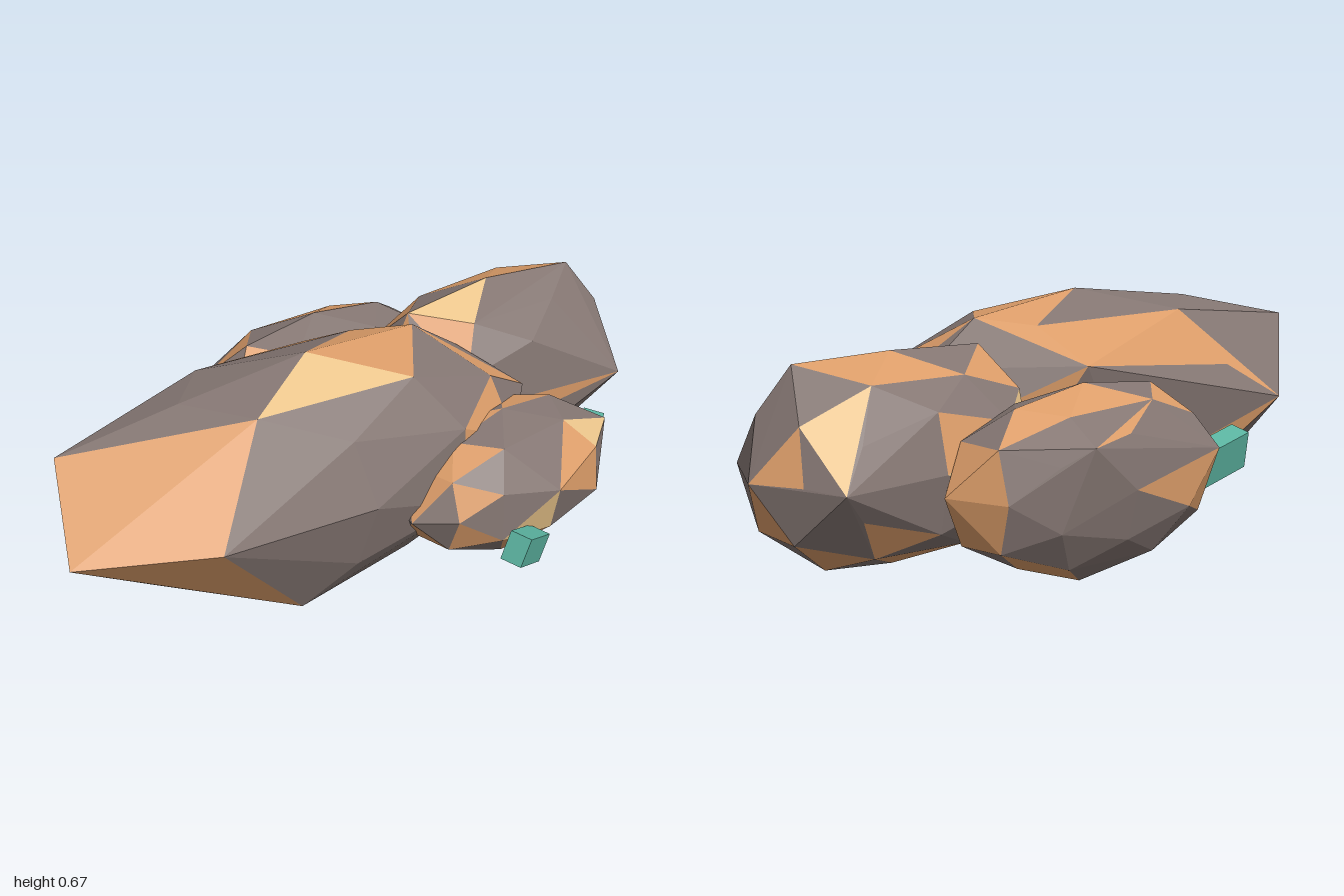
import * as THREE from 'three';
import { ConvexGeometry } from 'three/addons/geometries/ConvexGeometry.js';

// Small seeded generator
function seeded(seed) {
  let s = seed;
  return () => (s = (s * 16807) % 2147483647) / 2147483647;
}

const UP = new THREE.Vector3(0, 1, 0);
const material = (color) => new THREE.MeshStandardMaterial({ color, flatShading: true });
const tones = [
  { name: 'stone', material: material(0x847672) },
  { name: 'ore', material: material(0xdc9d69) },
  { name: 'paleOre', material: material(0xecc68c) },
];

// Squares an ellipsoid off a little, so the rock has blunt shoulders
const blunt = (v) => Math.sign(v) * Math.abs(v) ** 0.88;

// Faceted rock: a stretched, roughened icosphere with a few jutting corners,
// its facets shared out between stone and ore
function rock({ name, seed, center, radii, yaw, corners }) {
  const random = seeded(seed);
  const points = corners.map((c) => new THREE.Vector3(...c));
  const ico = new THREE.IcosahedronGeometry(1, 1).attributes.position;
  const seen = new Set();
  for (let i = 0; i < ico.count; i++) {
    const p = new THREE.Vector3().fromBufferAttribute(ico, i);
    const key = p.toArray().map((v) => Math.round(v * 100)).join();
    if (seen.has(key)) continue;
    seen.add(key);
    p.set(blunt(p.x), blunt(p.y), blunt(p.z))
      .multiplyScalar(0.92 + 0.08 * random())
      .multiply(new THREE.Vector3(...radii))
      .applyAxisAngle(UP, yaw)
      .add(new THREE.Vector3(...center));
    // leave out points crowding a corner, so facets stay large
    if (points.every((q) => q.distanceTo(p) > 0.09)) points.push(p);
  }

  const hull = new ConvexGeometry(points).attributes.position.array;
  const facets = [[], [], []];
  for (let i = 0; i < hull.length; i += 9) {
    const r = random();
    facets[r < 0.64 ? 0 : r < 0.94 ? 1 : 2].push(...hull.slice(i, i + 9));
  }

  const group = new THREE.Group();
  group.name = name;
  facets.forEach((list, i) => {
    const geometry = new THREE.BufferGeometry();
    geometry.setAttribute('position', new THREE.Float32BufferAttribute(list, 3));
    geometry.computeVertexNormals();
    const mesh = new THREE.Mesh(geometry, tones[i].material);
    mesh.name = name + '_' + tones[i].name;
    group.add(mesh);
  });
  return group;
}

const rocks = [
  {
    // long rock: pointed end, girdle, crown, blunt end, keel
    name: 'mainRock', seed: 4211, center: [-0.2, 0.345, 0.06], radii: [0.67, 0.32, 0.3], yaw: -0.1,
    corners: [
      [-1, 0.35, 0.17], [-0.9, 0.54, -0.05], [-0.69, 0.35, -0.26], [0.02, 0.52, -0.25],
      [-0.66, 0.35, 0.34], [-0.2, 0.34, 0.37], [-0.2, 0.67, 0.06], [0.18, 0.63, 0.03],
      [0.49, 0.4, 0.14], [-0.35, 0.04, 0.24], [-0.2, 0.025, 0.06],
    ],
  },
  {
    name: 'sideRock', seed: 977, center: [0.57, 0.33, -0.12], radii: [0.43, 0.28, 0.24], yaw: 0,
    corners: [
      [0.87, 0.32, -0.35], [0.87, 0.32, 0.13], [0.84, 0.6, -0.08],
      [0.27, 0.59, -0.1], [0.75, 0.06, -0.08],
    ],
  },
  {
    name: 'backRock', seed: 3163, center: [0.16, 0.27, -0.39], radii: [0.43, 0.25, 0.2], yaw: 0.05,
    corners: [[0.18, 0, -0.4], [0.3, 0.4, -0.6], [0.6, 0.28, -0.38], [-0.19, 0.32, -0.53]],
  },
  {
    name: 'frontRock', seed: 7351, center: [0.285, 0.26, 0.29], radii: [0.36, 0.19, 0.22], yaw: 0.14,
    corners: [[-0.08, 0.25, 0.36], [0.64, 0.32, 0.32], [0.3, 0.29, 0.515]],
  },
];

// Loose green crystal blocks
const crystals = [
  { name: 'frontCrystal', size: [0.16, 0.08, 0.06], at: [0.155, 0.185, 0.545], turn: [0.2, 0.42, -0.4] },
  { name: 'sideCrystal', size: [0.16, 0.085, 0.06], at: [0.69, 0.2, 0.2], turn: [0.2, 0.68, -0.05] },
  { name: 'backCrystal', size: [0.21, 0.11, 0.06], at: [-0.4, 0.22, -0.3], turn: [-0.25, 0.18, -0.18] },
];

export function createModel() {
  const model = new THREE.Group();
  model.name = 'oreRocks';
  rocks.forEach((r) => model.add(rock(r)));

  const green = material(0x5bb3a0);
  for (const { name, size, at, turn } of crystals) {
    const mesh = new THREE.Mesh(new THREE.BoxGeometry(...size), green);
    mesh.name = name;
    mesh.position.set(...at);
    mesh.rotation.set(...turn, 'YXZ');
    model.add(mesh);
  }
  return model;
}
